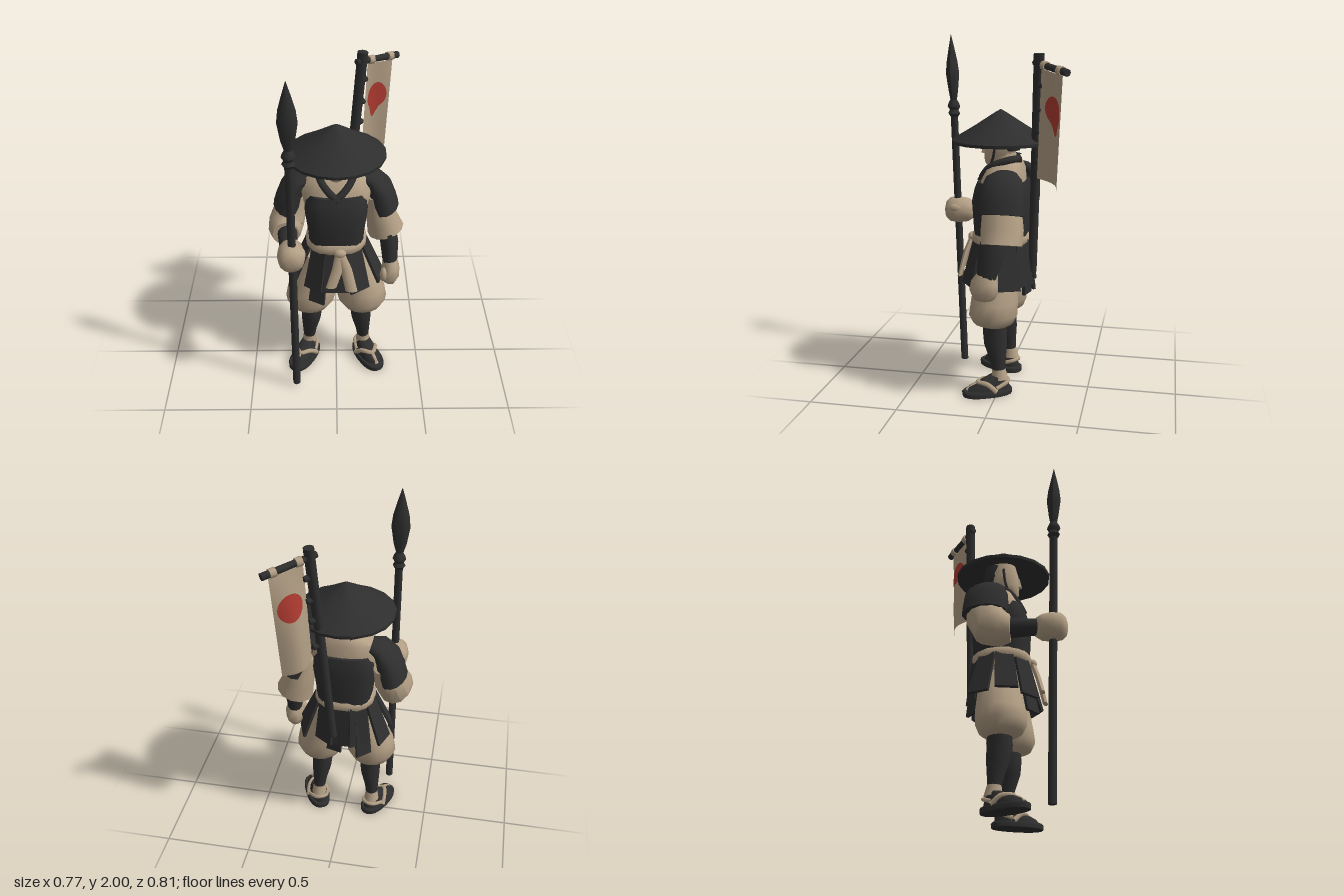
import * as THREE from 'three';
import { toCreasedNormals } from 'three/addons/utils/BufferGeometryUtils.js';

const V = (x, y, z) => new THREE.Vector3(x, y, z);
const mat = (name, color) => { const m = new THREE.MeshStandardMaterial({ color }); m.name = name; return m; };

export function createModel() {
  const model = new THREE.Group();
  const dark = mat('charcoal', 0x2e2e2e), cloth = mat('sand cloth', 0xb39f85), red = mat('red', 0xb23c32);
  cloth.side = red.side = THREE.DoubleSide;

  const add = (name, geo, material, parent = model) => {
    const m = new THREE.Mesh(geo, material);
    m.name = name;
    parent.add(m);
    return m;
  };

  // Capped skin over rings [x, y, z, a, b]; a lies along ref, b across it; level keeps rings horizontal
  function loft(rows, { n = 14, ref = V(1, 0, 0), level = false, p = 2, crease = 0.8 } = {}) {
    const pos = [], idx = [], c = rows.map(r => V(r[0], r[1], r[2]));
    rows.forEach((r, i) => {
      const d = level ? V(0, Math.sign(c[c.length - 1].y - c[0].y), 0)
        : c[Math.min(i + 1, c.length - 1)].clone().sub(c[Math.max(i - 1, 0)]).normalize();
      const u = ref.clone().addScaledVector(d, -ref.dot(d)).normalize(), v = d.clone().cross(u);
      for (let j = 0; j < n; j++) {
        const t = j / n * Math.PI * 2, f = w => Math.sign(w) * Math.abs(w) ** (2 / p);
        const q = c[i].clone().addScaledVector(u, f(Math.cos(t)) * r[3]).addScaledVector(v, f(Math.sin(t)) * r[4]);
        pos.push(q.x, q.y, q.z);
      }
    });
    const last = rows.length - 1, A = rows.length * n, B = A + 1;
    pos.push(...c[0].toArray(), ...c[last].toArray());
    for (let j = 0; j < n; j++) {
      const k = (j + 1) % n;
      for (let i = 0; i < last; i++) {
        const a = i * n + j, b = i * n + k;
        idx.push(a, b, b + n, a, b + n, a + n);
      }
      idx.push(A, k, j, B, last * n + j, last * n + k);
    }
    const g = new THREE.BufferGeometry();
    g.setAttribute('position', new THREE.Float32BufferAttribute(pos, 3));
    g.setIndex(idx);
    return toCreasedNormals(g, crease);
  }
  const Z = V(0, 0, 1);
  const rod = (a, b, r, r2 = r, n = 8) => loft([[...a, r, r], [...b, r2, r2]], { n, ref: Math.abs(b[1] - a[1]) > 0.2 ? V(1, 0, 0) : V(0, 1, 0) });
  const ball = (x, y, z, rx, ry, rz) => new THREE.SphereGeometry(1, 12, 9).scale(rx, ry, rz).translate(x, y, z);
  const ribbon = (pts, r) => new THREE.TubeGeometry(new THREE.CatmullRomCurve3(pts.map(q => V(...q))), 16, r, 6);

  // Straw hat
  const hat = [[0, 1.605], [0.03, 1.588], [0.15, 1.51], [0.272, 1.437], [0.27, 1.42], [0.13, 1.48], [0, 1.53]];
  add('hat', toCreasedNormals(new THREE.LatheGeometry(hat.reverse().map(q => new THREE.Vector2(...q)), 18), 0.6)
    .translate(0, 0, 0.015), dark);

  // Head
  add('neck', loft([[0, 1.24, -0.02, 0.07, 0.07], [0, 1.4, 0, 0.06, 0.065]], { level: true }), cloth);
  add('head', loft([[0, 1.295, 0.06, 0.03, 0.035], [0, 1.315, 0.045, 0.055, 0.06], [0, 1.36, 0.02, 0.07, 0.088],
    [0, 1.43, 0.01, 0.078, 0.098], [0, 1.5, 0.01, 0.065, 0.08]], { level: true }), cloth);
  add('nose', loft([[0, 1.36, 0.105, 0.018, 0.022], [0, 1.42, 0.1, 0.009, 0.014]], { n: 6, level: true }), cloth);
  add('hair', loft([[0, 1.38, -0.045, 0.06, 0.048], [0, 1.415, -0.04, 0.076, 0.06], [0, 1.49, -0.03, 0.072, 0.06]], { level: true }), dark);
  add('chinStrap', ribbon([[-0.081, 1.45, 0.03], [-0.073, 1.36, 0.04], [-0.047, 1.308, 0.06], [0, 1.293, 0.075],
    [0.047, 1.308, 0.06], [0.073, 1.36, 0.04], [0.081, 1.45, 0.03]], 0.008), dark);

  // Robe, chest armour and collar
  add('robe', loft([[0, 0.86, 0, 0.15, 0.13], [0, 1.0, 0, 0.16, 0.135], [0, 1.14, 0, 0.185, 0.135], [0, 1.21, -0.003, 0.2, 0.122],
    [0, 1.28, -0.015, 0.17, 0.105], [0, 1.315, -0.025, 0.1, 0.085], [0, 1.335, -0.03, 0.07, 0.07]], { n: 20, level: true, p: 2.3 }), cloth);
  add('chestArmour', loft([[0, 0.89, 0.005, 0.155, 0.15], [0, 0.98, 0.005, 0.162, 0.156], [0, 1.1, 0.005, 0.178, 0.162],
    [0, 1.17, 0, 0.172, 0.152], [0, 1.21, -0.003, 0.155, 0.14]], { n: 20, level: true, p: 3.2 }), dark);
  for (const s of [-1, 1])
    add('collar', ribbon([[s * 0.03, 1.335, -0.1], [s * 0.085, 1.33, -0.04], [s * 0.09, 1.295, 0.05],
      [s * 0.04, 1.235, 0.106], [-s * 0.015, 1.195, 0.13]], 0.023), dark);

  // Shoulder guards
  for (const s of [-1, 1])
    add('shoulderGuard', loft([[s * 0.15, 1.265, -0.04, 0.07, 0.03], [s * 0.2, 1.25, -0.04, 0.1, 0.05],
      [s * 0.243, 1.19, -0.04, 0.122, 0.07], [s * 0.26, 1.12, -0.04, 0.127, 0.08], [s * 0.276, 1.066, -0.04, 0.127, 0.08]],
    { ref: Z }), dark);

  // Left arm, hanging
  add('leftSleeve', loft([[0.22, 1.16, -0.04, 0.1, 0.06], [0.24, 1.07, -0.04, 0.11, 0.08], [0.262, 0.985, -0.045, 0.118, 0.09],
    [0.285, 0.905, -0.045, 0.115, 0.106]], { ref: Z, n: 12 }), cloth);
  add('leftForearm', loft([[0.29, 0.925, 0, 0.066, 0.052], [0.305, 0.85, 0.008, 0.072, 0.053], [0.312, 0.72, 0.035, 0.052, 0.042]], { ref: Z }), dark);
  add('leftHand', loft([[0.312, 0.74, 0.035, 0.052, 0.042], [0.317, 0.7, 0.042, 0.074, 0.052], [0.312, 0.65, 0.047, 0.08, 0.056],
    [0.305, 0.61, 0.05, 0.06, 0.042], [0.3, 0.598, 0.05, 0.03, 0.02]], { ref: Z, n: 10, crease: 1.1 }), cloth);
  add('leftThumb', ball(0.275, 0.67, 0.09, 0.024, 0.045, 0.03), cloth);

  // Right arm, reaching forward to the spear
  add('rightSleeve', loft([[-0.22, 1.16, -0.05, 0.06, 0.1], [-0.255, 1.06, -0.04, 0.09, 0.11], [-0.28, 0.985, 0, 0.1, 0.115],
    [-0.285, 0.965, 0.05, 0.095, 0.1], [-0.28, 0.965, 0.1, 0.075, 0.075]], { n: 12 }), cloth);
  add('rightForearm', loft([[-0.274, 0.97, 0.06, 0.058, 0.052], [-0.268, 0.97, 0.15, 0.053, 0.05], [-0.262, 0.97, 0.25, 0.046, 0.046]]), dark);
  add('rightHand', loft([[-0.262, 0.97, 0.232, 0.05, 0.05], [-0.25, 0.972, 0.265, 0.07, 0.072], [-0.243, 0.973, 0.32, 0.077, 0.081],
    [-0.24, 0.973, 0.37, 0.07, 0.074], [-0.238, 0.973, 0.395, 0.048, 0.05], [-0.238, 0.973, 0.402, 0.02, 0.02]], { n: 12, crease: 1.2 }), cloth);
  add('rightThumb', ball(-0.19, 0.99, 0.33, 0.025, 0.03, 0.045), cloth);

  // Spear: shaft, collar rings and leaf blade on one leaning axis
  const spear = rows => loft(rows.map(([y, r, q = r]) => [-0.238, y, 0.294 + y * 0.031, r, q]), { n: 8, level: true });
  add('spearShaft', spear([[0.02, 0.022], [1.6, 0.022]]), dark);
  add('spearCollar', spear([[1.53, 0.022], [1.55, 0.036], [1.57, 0.026], [1.59, 0.038], [1.61, 0.032], [1.63, 0.02]]), dark);
  add('spearBlade', spear([[1.62, 0.018], [1.68, 0.036, 0.028], [1.78, 0.052, 0.04], [1.85, 0.044, 0.032], [1.93, 0.022, 0.016], [2, 0.001]]), dark);

  // Sash with knot and tails
  add('sash', loft([[0, 0.862, 0.008, 0.165, 0.158], [0, 0.875, 0.008, 0.174, 0.167], [0, 0.905, 0.008, 0.172, 0.165],
    [0, 0.92, 0.008, 0.16, 0.155]], { n: 18, level: true, p: 2.4 }), cloth);
  add('sashKnot', ball(0.02, 0.882, 0.175, 0.036, 0.026, 0.026), cloth);
  for (const [x, y, w] of [[-0.03, 0.69, 0.03], [0.085, 0.665, 0.034]])
    add('sashTail', loft([[0.02, 0.885, 0.175, 0.026, 0.016], [0.02 + x * 0.4, 0.8, 0.205, 0.032, 0.016],
      [x, y, 0.235, w, 0.014]], { n: 8, level: true }), cloth);

  // Hanging armour plates round the hips: angle, length, bottom width, flare, inset
  const plates = [[0, 0.26, 0.15, 0.2], [36, 0.27, 0.13, 0.26], [-36, 0.26, 0.12, 0.26], [74, 0.265, 0.125, 0.42], [-74, 0.265, 0.125, 0.42],
    [110, 0.27, 0.125, 0.36], [-110, 0.27, 0.125, 0.36], [146, 0.26, 0.125, 0.1], [-146, 0.26, 0.125, 0.1], [180, 0.27, 0.12, 0.02],
    [-30, 0.345, 0.1, 0.22, 0.008], [-138, 0.34, 0.1, 0.12, 0.006], [165, 0.32, 0.09, 0.02, 0.004]];
  for (const [deg, len, width, flare, inset = 0] of plates) {
    const a = deg * Math.PI / 180, g = new THREE.BoxGeometry(width, len, 0.016).translate(0, -len / 2, 0), p = g.attributes.position;
    for (let i = 0; i < p.count; i++) if (p.getY(i) > -0.01) p.setX(i, p.getX(i) * 0.78);
    g.computeVertexNormals();
    const m = add('skirtPlate', g, dark);
    m.rotation.order = 'YXZ';
    m.rotation.set(-flare, a, 0);
    m.position.set(Math.sin(a) * (0.16 - inset), 0.885, 0.003 + Math.cos(a) * (0.15 - inset));
  }

  // Hips and legs
  add('hips', loft([[0, 0.64, 0.01, 0.11, 0.09], [0, 0.74, 0.01, 0.16, 0.125], [0, 0.88, 0, 0.15, 0.13]], { level: true }), cloth);
  for (const s of [-1, 1]) {
    add('trouserLeg', loft([[s * 0.09, 0.78, 0.01, 0.085, 0.11], [s * 0.12, 0.66, 0.015, 0.115, 0.122], [s * 0.147, 0.55, 0.022, 0.138, 0.134],
      [s * 0.153, 0.475, 0.028, 0.145, 0.138], [s * 0.155, 0.425, 0.026, 0.115, 0.115], [s * 0.152, 0.405, 0.02, 0.075, 0.08]],
    { n: 16, level: true, crease: 1 }), cloth);
    add('shin', loft([[s * 0.152, 0.44, 0.02, 0.06, 0.065], [s * 0.148, 0.36, 0.02, 0.062, 0.068], [s * 0.152, 0.29, 0.015, 0.057, 0.066],
      [s * 0.162, 0.2, 0.002, 0.042, 0.046], [s * 0.165, 0.145, -0.005, 0.036, 0.038]], { level: true }), dark);
    add('ankleWrap', loft([[s * 0.165, 0.152, -0.005, 0.035, 0.037], [s * 0.167, 0.09, -0.012, 0.044, 0.048]], { level: true }), cloth);

    // Sandalled foot, toes turned outward
    const foot = new THREE.Group();
    foot.name = 'foot';
    foot.position.set(s * 0.197, 0, 0.055);
    foot.rotation.y = s * 0.45;
    model.add(foot);
    add('sole', loft([[0, 0.002, 0, 0.07, 0.143], [0, 0.026, 0, 0.072, 0.145], [0, 0.034, 0, 0.066, 0.138]], { n: 18, level: true, p: 2.4 }), dark, foot);
    add('footUpper', loft([[0, 0.028, 0, 0.058, 0.13], [0, 0.055, -0.008, 0.055, 0.118], [0, 0.085, -0.035, 0.045, 0.08],
      [0, 0.11, -0.06, 0.036, 0.045]], { n: 16, level: true }), dark, foot);
    add('sideStrap', ribbon([[0.064, 0.032, -0.04], [0.042, 0.075, 0.01], [0, 0.075, 0.055], [-0.042, 0.075, 0.01], [-0.064, 0.032, -0.04]], 0.015), cloth, foot);
    add('toeStrap', ribbon([[0, 0.073, 0.05], [0, 0.06, 0.08], [0, 0.034, 0.118]], 0.014), cloth, foot);
    add('heelStrap', ribbon([[0.056, 0.05, -0.04], [0.032, 0.075, -0.11], [0, 0.08, -0.122], [-0.032, 0.075, -0.11], [-0.056, 0.05, -0.04]], 0.012), cloth, foot);
  }

  // Banner pole, clips and crossbar
  const poleAt = y => [0.042 + (y - 0.7) * 0.084, y, -0.175 - (y - 0.7) * 0.036];
  add('bannerPole', rod(poleAt(0.7), poleAt(1.91), 0.024, 0.029), dark);
  for (const y of [1.34, 1.5, 1.62, 1.75]) {
    const [x, , z] = poleAt(y);
    add('poleClip', rod([x, y, z], [x + 0.035, y - 0.005, z - 0.032], 0.02, 0.016), dark);
  }
  const barA = V(0.11, 1.863, -0.19), barB = V(0.34, 1.823, -0.392);
  add('crossbar', rod(barA.toArray(), barB.toArray(), 0.017, 0.02), dark);
  for (const t of [0.33, 0.8])
    add('bannerLoop', rod(barA.clone().lerp(barB, t - 0.055).toArray(), barA.clone().lerp(barB, t + 0.055).toArray(), 0.025), cloth);

  // Banner cloth: s runs across, t runs down, billowing backward towards the bottom
  const out = V(0.68, 0, 0.73);
  const bannerPoint = (s, t, off) => V(0.17, 1.835, -0.235).lerp(V(0.142, 1.25, -0.212), t)
    .lerp(V(0.312, 1.805, -0.365).lerp(V(0.277, 1.205, -0.335), t), s)
    .addScaledVector(out, off - 0.045 * Math.sin(Math.PI * s) * Math.sin(Math.PI / 2 * Math.min(1, t * 1.3)));
  function bend(g, off, map) {
    const p = g.attributes.position;
    for (let i = 0; i < p.count; i++) {
      const [s, t] = map(p.getX(i), p.getY(i));
      p.setXYZ(i, ...bannerPoint(s, t, off).toArray());
    }
    g.computeVertexNormals();
    return g;
  }
  add('banner', bend(new THREE.PlaneGeometry(1, 1, 14, 18), 0, (x, y) => [x + 0.5, 0.5 - y]), cloth);
  // Painted red disc on both faces, with a drip on the outer one
  for (const [off, drip] of [[-0.004, 0], [0.004, 0.75]])
    add('bannerDisc', bend(new THREE.RingGeometry(0.001, 1, 40, 6), off, (x, y) => {
      const k = 1 + drip * Math.max(0, -y / Math.hypot(x, y)) ** 18;
      return [0.54 + x * 0.37, 0.34 - y * k * 0.13];
    }), red);
  return model;
}
